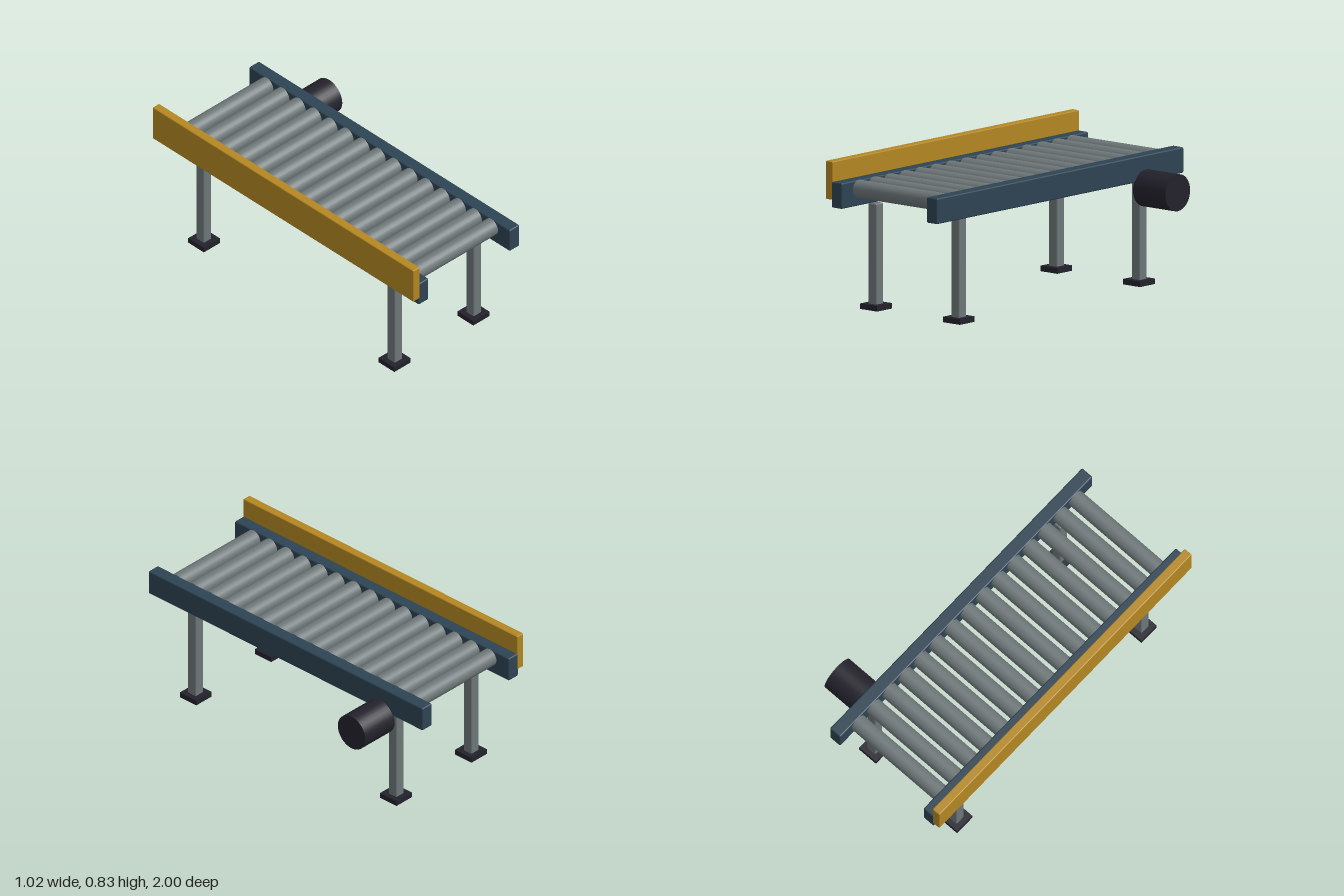
import * as THREE from 'three';
import { RoundedBoxGeometry } from 'three/addons/geometries/RoundedBoxGeometry.js';

const material = (name, color) => {
  const m = new THREE.MeshStandardMaterial({ color });
  m.name = name;
  return m;
};

export function createModel() {
  const steel = material('steel grey', 0x6e7779);
  const blue = material('frame blue', 0x2e4453);
  const yellow = material('guard yellow', 0xb48722);
  const dark = material('dark rubber', 0x23222c);

  const model = new THREE.Group();
  model.name = 'rollerConveyor';

  const add = (name, geometry, mat, x, y, z) => {
    const mesh = new THREE.Mesh(geometry, mat);
    mesh.name = name;
    mesh.position.set(x, y, z);
    model.add(mesh);
    return mesh;
  };

  const centreX = -0.092;

  // Side rails, with a leg and foot near each end
  const railGeo = new RoundedBoxGeometry(0.075, 0.14, 2, 2, 0.008);
  const legGeo = new RoundedBoxGeometry(0.06, 0.578, 0.06, 2, 0.008);
  const footGeo = new THREE.BoxGeometry(0.12, 0.03, 0.12);
  for (const side of [-1, 1]) {
    const label = side > 0 ? 'left' : 'right';
    add(label + 'Rail', railGeo, blue, centreX + side * 0.3375, 0.648, 0);
    for (const end of [-1, 1]) {
      const suffix = end > 0 ? 'Front' : 'Back';
      const x = centreX + side * 0.293;
      add(label + suffix + 'Leg', legGeo, steel, x, 0.289, end * 0.732);
      add(label + suffix + 'Foot', footGeo, dark, x, 0.0165, end * 0.73);
    }
  }

  // Evenly spaced rollers between the rails
  const rollerGeo = new THREE.CylinderGeometry(0.049, 0.049, 0.604, 24).rotateZ(Math.PI / 2);
  const count = 15;
  for (let i = 0; i < count; i++) {
    add('roller' + (i + 1), rollerGeo, steel, centreX, 0.67, (i - (count - 1) / 2) * 0.123);
  }

  // Raised guard along the outside of the right rail
  add('sideGuard', new RoundedBoxGeometry(0.05, 0.208, 2, 2, 0.006), yellow, -0.483, 0.724, 0);

  // Drive motor on the outside of the left rail
  const motorGeo = new THREE.CylinderGeometry(0.1, 0.1, 0.23, 32).rotateZ(Math.PI / 2);
  add('driveMotor', motorGeo, dark, 0.393, 0.54, -0.693);

  return model;
}
